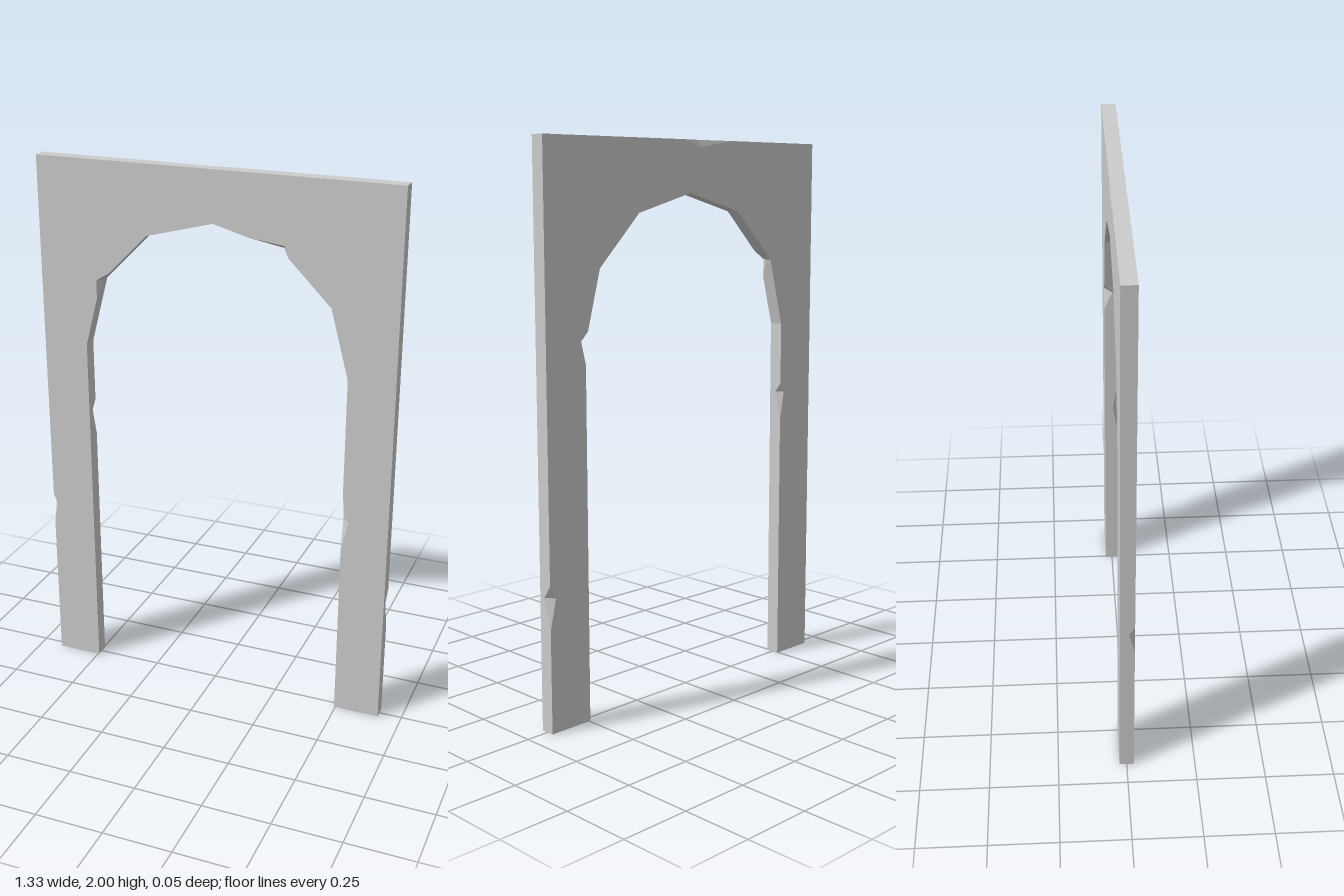
import * as THREE from 'three';

const HALF_WIDTH = 0.665, HEIGHT = 2, HALF_DEPTH = 0.026;
const RADIUS = 0.495, SPRING = 1.32;

// Outline node: a corner point, optionally the middle of a chip.
// face: which face is chipped (1 front, -1 back); cut: chip point on that face; z: chip point on the wall
const node = (x, y, chip) => ({ p: [x, y], chip });
const chip = (face, x, y, z) => ({ face, cut: [x, y], z });
const archPoint = i => {
  const a = Math.PI * (1 - i / 6);
  return [RADIUS * Math.cos(a), SPRING + RADIUS * Math.sin(a)];
};

// Counter-clockwise outline seen from the front; each chip sits between two plain nodes
function buildOutline() {
  const arch = (i, c) => node(...archPoint(i), c);
  return [
    node(-HALF_WIDTH, 0), node(-RADIUS, 0),
    // inner edge of one post
    node(-RADIUS, 0.95), node(-RADIUS, 1.055, chip(-1, -0.515, 1.055, 0)), node(-RADIUS, 1.09),
    // six-sided arch with chipped corners
    arch(0),
    node(-0.447, 1.5), arch(1, chip(1, -0.447, 1.568, -0.004)), node(-0.397, 1.599),
    arch(2), arch(3),
    node(0.13, 1.78), arch(4, chip(1, 0.26, 1.764, -0.006)), node(0.272, 1.724),
    arch(5),
    node(0.484, 1.361), arch(6, chip(-1, 0.515, 1.33, 0.004)), node(RADIUS, 1.25),
    // inner edge of the other post
    node(RADIUS, 0.905), node(RADIUS, 0.785, chip(1, 0.52, 0.785, 0.005)), node(RADIUS, 0.67),
    node(RADIUS, 0), node(HALF_WIDTH, 0),
    // outer edges
    node(HALF_WIDTH, 0.365), node(HALF_WIDTH, 0.475, chip(-1, 0.64, 0.475, 0.005)), node(HALF_WIDTH, 0.52),
    node(HALF_WIDTH, HEIGHT),
    node(0.03, HEIGHT), node(-0.05, HEIGHT, chip(-1, -0.05, 1.975, -0.017)), node(-0.22, HEIGHT),
    node(-HALF_WIDTH, HEIGHT),
    node(-HALF_WIDTH, 0.685), node(-HALF_WIDTH, 0.65, chip(1, -0.648, 0.65, 0.006)), node(-HALF_WIDTH, 0.57),
  ];
}

function frameGeometry() {
  const nodes = buildOutline();
  const positions = [];
  const tri = (a, b, c) => positions.push(...a, ...b, ...c);

  // corner of a flat face, and corner of the wall next to it
  const facePoint = (n, f) => [...(n.chip?.face === f ? n.chip.cut : n.p), f * HALF_DEPTH];
  const wallPoint = (n, f) => [...n.p, n.chip?.face === f ? n.chip.z : f * HALF_DEPTH];

  // front and back faces
  for (const f of [1, -1]) {
    const ring = nodes.map(n => facePoint(n, f));
    const contour = ring.map(p => new THREE.Vector2(p[0], p[1]));
    for (const [a, b, c] of THREE.ShapeUtils.triangulateShape(contour, [])) {
      if (f > 0) tri(ring[a], ring[b], ring[c]);
      else tri(ring[a], ring[c], ring[b]);
    }
  }

  nodes.forEach((n, i) => {
    const next = nodes[(i + 1) % nodes.length];
    const prev = nodes[(i + nodes.length - 1) % nodes.length];
    // wall between the faces
    const [f0, b0] = [wallPoint(n, 1), wallPoint(n, -1)];
    const [f1, b1] = [wallPoint(next, 1), wallPoint(next, -1)];
    tri(f0, b0, b1);
    tri(f0, b1, f1);
    // two facets of a chip
    if (n.chip) {
      const f = n.chip.face;
      const a = facePoint(prev, f), b = facePoint(next, f);
      const p = facePoint(n, f), q = wallPoint(n, f);
      if (f > 0) { tri(a, q, p); tri(p, q, b); }
      else { tri(a, p, q); tri(p, b, q); }
    }
  });

  const geometry = new THREE.BufferGeometry();
  geometry.setAttribute('position', new THREE.Float32BufferAttribute(positions, 3));
  geometry.computeVertexNormals();
  return geometry;
}

export function createModel() {
  const group = new THREE.Group();
  group.name = 'archway';
  const material = new THREE.MeshStandardMaterial({ color: 0xcccccc, flatShading: true });
  const frame = new THREE.Mesh(frameGeometry(), material);
  frame.name = 'chippedArchFrame';
  group.add(frame);
  return group;
}
